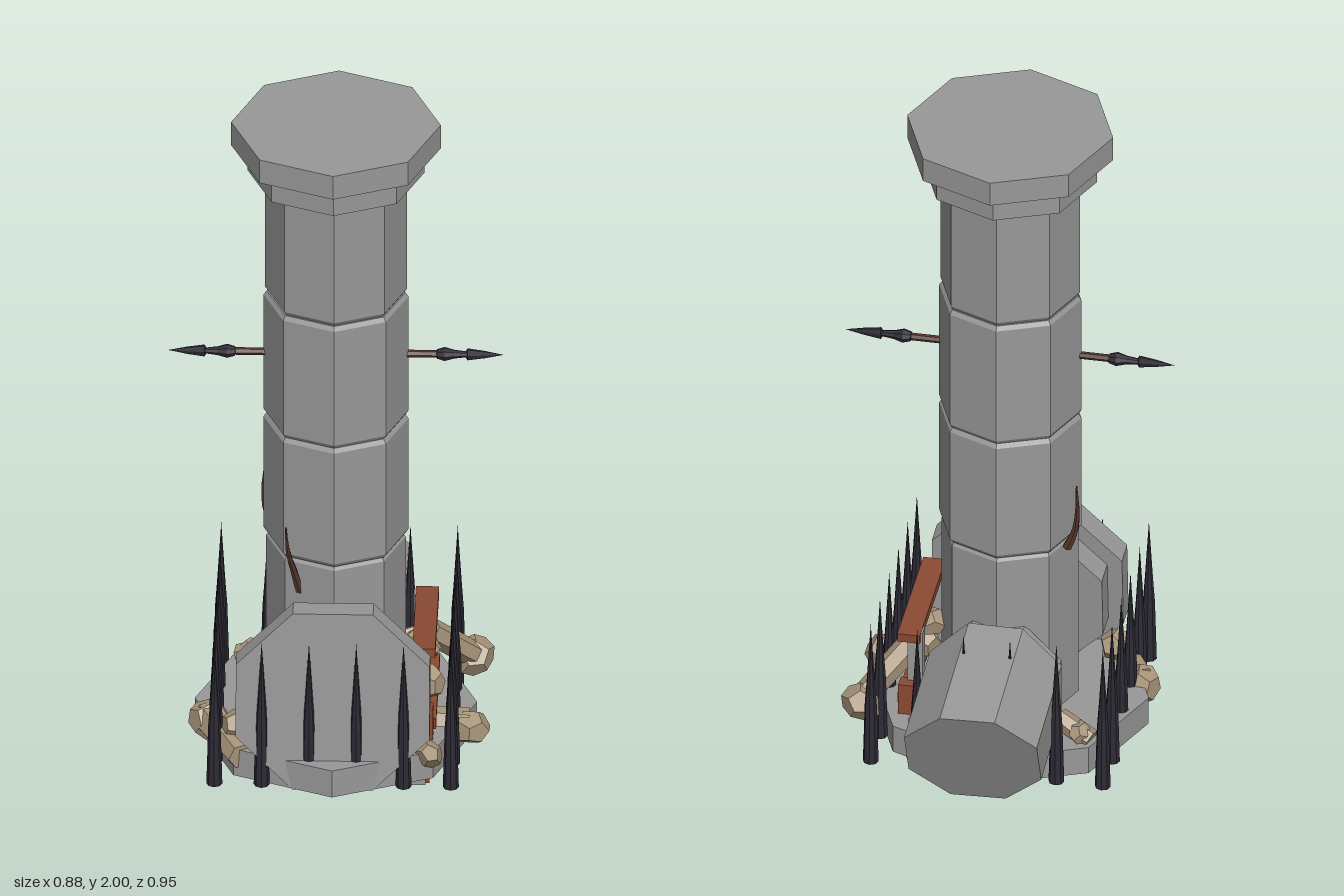
import * as THREE from 'three';

const paint = (name, color) => {
  const m = new THREE.MeshStandardMaterial({ color, flatShading: true });
  m.name = name;
  return m;
};

export function createModel() {
  const stone = paint('stone', 0x989898);
  const rubble = paint('sandstone', 0xa8957a);
  const wood = paint('wood', 0x8a4a33);
  const bark = paint('darkWood', 0x54362b);
  const iron = paint('iron', 0x2d2a34);
  const violet = paint('violetCrystal', 0x5a3a9c);
  const pink = paint('pinkCrystal', 0xba3ba6);

  const root = new THREE.Group();
  root.name = 'ruinedTower';
  const CZ = 0.105; // tower axis

  const add = (name, geo, mat, x = 0, y = 0, z = 0, parent = root) => {
    const m = new THREE.Mesh(geo, mat);
    m.name = name;
    m.position.set(x, y, z);
    parent.add(m);
    return m;
  };
  const lathe = (pts, sides) =>
    new THREE.LatheGeometry(pts.map(p => new THREE.Vector2(p[0], p[1])), sides);
  const box = (w, h, d) => new THREE.BoxGeometry(w, h, d);

  // Base slab
  add('baseSlab', new THREE.CylinderGeometry(0.37, 0.37, 0.08, 8), stone, 0, 0.21, CZ);
  add('crystalSocket', new THREE.CylinderGeometry(0.1, 0.08, 0.05, 8), stone, 0, 0.15, CZ);

  // Column drums with chamfered joints
  const joints = [0.2, 0.76, 1.12, 1.49, 1.87];
  for (let i = 0; i < 4; i++) {
    const [a, b] = [joints[i], joints[i + 1]];
    const r = [0.183, 0.19, 0.19, 0.186][i];
    add('columnDrum', lathe([[0, a], [r - 0.008, a], [r, a + 0.012],
      [r, b - 0.012], [r - 0.008, b], [0, b]], 8), stone, 0, 0, CZ);
  }
  add('capitalRing', new THREE.CylinderGeometry(0.232, 0.232, 0.07, 8), stone, 0, 1.89, CZ);
  add('capitalSlab', new THREE.CylinderGeometry(0.275, 0.275, 0.07, 8), stone, 0, 1.965, CZ);

  // Fallen capital leaning on the front
  const disc = (r, d) =>
    new THREE.CylinderGeometry(r, r, d, 8).rotateY(Math.PI / 8).rotateX(Math.PI / 2);
  const fallen = new THREE.Group();
  fallen.name = 'fallenCapital';
  fallen.position.set(0, 0.42, 0.408);
  fallen.rotation.x = -0.09;
  add('fallenSlab', disc(0.275, 0.07), stone, 0, 0, -0.035, fallen);
  add('fallenRing', disc(0.232, 0.075), stone, 0, 0, -0.105, fallen);
  root.add(fallen);

  // Broken drum at the back, with a slanted end
  const drum = disc(0.19, 1);
  const p = drum.attributes.position;
  for (let i = 0; i < p.count; i++) {
    const x = p.getX(i), y = p.getY(i);
    if (p.getZ(i) < 0) p.setXYZ(i, x, 0.34 + y * 0.95, -0.4 - 0.42 * y - 0.05 * x);
    else p.setXYZ(i, x, 0.38 + y, -0.09);
  }
  drum.computeVertexNormals();
  add('brokenDrum', drum, stone);
  add('brokenDrumNeck', disc(0.18, 0.06), stone, 0, 0.37, -0.075);

  // Iron spikes around a rectangle
  const spike = lathe([[0, 0], [0.021, 0], [0.016, 0.18], [0.011, 0.25], [0, 0.43]], 8);
  for (let i = 0; i < 6; i++) {
    for (let j = 0; j < 6; j++) {
      if (i % 5 && j % 5) continue;
      add('spike', spike, iron, -0.31 + i * 0.124, 0.17, -0.21 + j * 0.124);
    }
  }

  // Spears through the column
  for (const s of [1, -1]) {
    const spear = new THREE.Group();
    spear.name = 'spear';
    spear.position.set(0, 1.305, CZ);
    spear.rotation.z = -s * Math.PI / 2;
    add('spearShaft', new THREE.CylinderGeometry(0.01, 0.01, 0.2, 6), bark, 0, 0.22, 0, spear);
    add('spearCollar', lathe([[0, 0.26], [0.013, 0.265], [0.019, 0.285],
      [0.012, 0.31], [0.007, 0.35], [0, 0.35]], 8), iron, 0, 0, 0, spear);
    add('spearHead', lathe([[0, 0.335], [0.018, 0.345], [0.011, 0.39], [0, 0.44]], 6),
      iron, 0, 0, 0, spear).scale.z = 0.5;
    root.add(spear);
  }

  // Curved roots on the column, thinning towards the tip
  const rootTwig = pts => {
    const curve = new THREE.CatmullRomCurve3(pts.map(q => new THREE.Vector3(...q)));
    const geo = new THREE.TubeGeometry(curve, 6, 0.013, 6);
    const a = geo.attributes.position;
    for (let i = 0; i < a.count; i++) {
      const t = Math.floor(i / 7) / 6, c = curve.getPointAt(t);
      const v = new THREE.Vector3().fromBufferAttribute(a, i).sub(c)
        .multiplyScalar(1 - 0.85 * t).add(c);
      a.setXYZ(i, v.x, v.y, v.z);
    }
    add('rootTwig', geo, bark);
  };
  rootTwig([[-0.09, 0.66, 0.24], [-0.105, 0.72, 0.25], [-0.122, 0.79, 0.26], [-0.127, 0.86, 0.255]]);
  rootTwig([[-0.165, 0.74, 0.04], [-0.185, 0.79, 0.04], [-0.192, 0.85, 0.04], [-0.188, 0.93, 0.05]]);

  // Wooden door frame: upper lintel, jambs and the sill below the slab
  add('lintel', box(0.06, 0.025, 0.35), wood, 0.235, 0.485, 0.095).rotation.x = -0.04;
  for (const z of [-0.075, 0.285]) {
    add('jamb', box(0.05, 0.2, 0.04), wood, 0.235, 0.24, z);
    add('jambStone', box(0.04, 0.24, 0.035), stone, 0.22, 0.37, z > 0 ? 0.24 : -0.05);
    add('sillEnd', box(0.2, 0.07, 0.025), stone, 0.14, 0.143, z);
  }
  add('rail', box(0.035, 0.03, 0.34), wood, 0.25, 0.28, 0.105);
  add('sill', box(0.21, 0.08, 0.335), wood, 0.145, 0.14, 0.105);

  // Rubble: lumps and hexagonal limbs between two points
  const lump = (x, y, z, w, h, d, turn = 0) => {
    const m = add('rubbleLump', new THREE.DodecahedronGeometry(1), rubble, x, y, z);
    m.scale.set(w, h, d);
    m.rotation.set(turn, turn * 1.7, turn * 0.6);
  };
  const limb = (a, b, r0, r1) => {
    const A = new THREE.Vector3(...a), B = new THREE.Vector3(...b);
    const dir = B.clone().sub(A);
    const m = add('rubbleLimb', new THREE.CylinderGeometry(r1, r0, dir.length(), 6), rubble);
    m.position.copy(A).add(B).multiplyScalar(0.5);
    m.quaternion.setFromUnitVectors(new THREE.Vector3(0, 1, 0), dir.normalize());
  };
  limb([0.24, 0.41, 0.01], [0.35, 0.29, -0.08], 0.036, 0.034);
  lump(0.355, 0.275, -0.095, 0.06, 0.05, 0.055, 0.4);
  limb([0.26, 0.25, 0.2], [0.35, 0.24, 0.2], 0.036, 0.042);
  lump(0.355, 0.235, 0.21, 0.047, 0.055, 0.055, 0.9);
  limb([-0.33, 0.24, 0.18], [-0.24, 0.23, 0.37], 0.05, 0.036);
  lump(-0.335, 0.235, 0.19, 0.05, 0.055, 0.055, 0.3);
  lump(-0.25, 0.28, 0.29, 0.045, 0.045, 0.05, 1.2);
  limb([-0.26, 0.25, -0.12], [-0.17, 0.29, -0.09], 0.03, 0.028);
  lump(-0.23, 0.27, -0.12, 0.03, 0.035, 0.03, 0.7);
  lump(0.19, 0.28, -0.17, 0.03, 0.04, 0.03, 0.2);
  lump(0.25, 0.24, 0.36, 0.035, 0.05, 0.04, 0.5);
  lump(0.22, 0.42, 0.1, 0.04, 0.04, 0.06, 0.8);
  lump(0.24, 0.33, 0.14, 0.045, 0.05, 0.05, 1.5);

  // Crystal hanging under the slab
  add('crystalShell', lathe([[0, 0.02], [0.035, 0.035], [0.082, 0.085],
    [0.07, 0.13], [0, 0.16]], 7), violet, 0, 0, CZ).scale.z = 0.65;
  add('crystalCore', lathe([[0, 0], [0.03, 0.045], [0.036, 0.085],
    [0.036, 0.13], [0, 0.15]], 6), pink, 0, 0, CZ + 0.022);

  return root;
}
